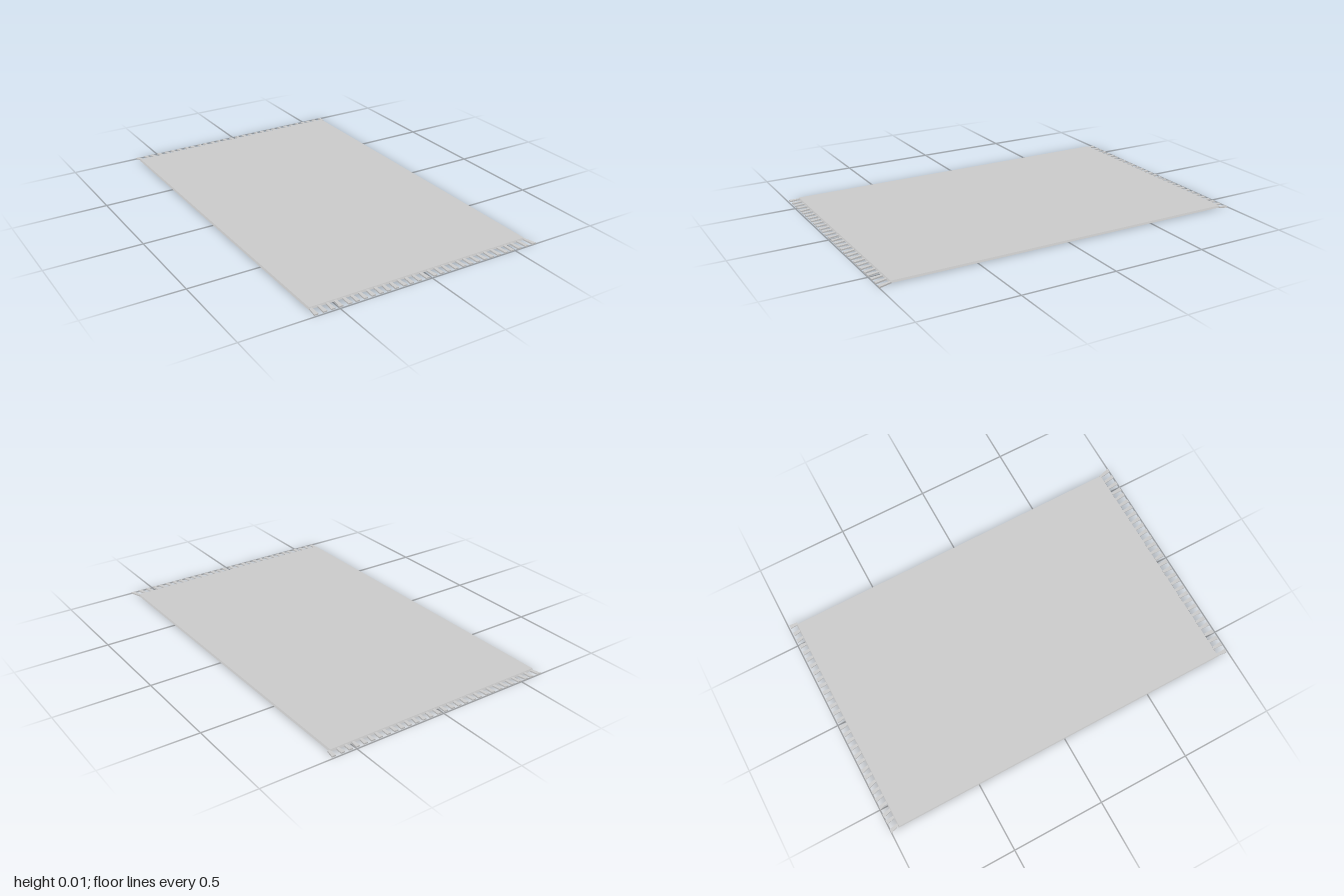
import * as THREE from 'three';

const material = new THREE.MeshStandardMaterial({ color: 0xcccccc, flatShading: true });
const COUNT = 30;

// Seeded noise in the range -1..1
function makeNoise(seed) {
  return () => {
    seed = (seed * 16807) % 2147483647;
    return (seed / 2147483647) * 2 - 1;
  };
}

// Flat strand: narrow root at the rug, wide tip further out, leaning sideways
function makeTassel(rootX, rootZ, tipX, tipZ) {
  const geometry = new THREE.BoxGeometry(1, 1, 1);
  const p = geometry.attributes.position;
  for (let i = 0; i < p.count; i++) {
    const atTip = p.getZ(i) > 0;
    const x = atTip ? tipX + p.getX(i) * 0.021 : rootX + p.getX(i) * 0.013;
    const top = atTip ? 0.008 : 0.010;
    const bottom = atTip ? 0.001 : 0.003;
    p.setXYZ(i, x, p.getY(i) > 0 ? top : bottom, atTip ? tipZ : rootZ);
  }
  geometry.computeVertexNormals();
  const tassel = new THREE.Mesh(geometry, material);
  tassel.name = 'tassel';
  return tassel;
}

// Row of tassels running outward along +z, leaning most at the far +x end
function makeFringe(name, rootZ, seed) {
  const fringe = new THREE.Group();
  fringe.name = name;
  const noise = makeNoise(seed);
  for (let i = 0; i < COUNT; i++) {
    const t = i / (COUNT - 1);
    const rootX = -0.615 + t * 1.222;
    const lean = i === COUNT - 1 ? 0.015 : 0.002 + 0.009 * t * t + 0.004 * noise();
    const tipZ = 0.992 + 0.008 * t * t;
    fringe.add(makeTassel(rootX, rootZ, rootX + lean, tipZ));
  }
  return fringe;
}

export function createModel() {
  const rug = new THREE.Group();
  rug.name = 'rug';

  // Woven panel: thin slab with chamfered upper edges
  const slab = new THREE.BoxGeometry(1.238, 0.010, 1.898);
  const p = slab.attributes.position;
  for (let i = 0; i < p.count; i++) {
    if (p.getY(i) > 0) {
      p.setX(i, p.getX(i) - Math.sign(p.getX(i)) * 0.004);
      p.setZ(i, p.getZ(i) - Math.sign(p.getZ(i)) * 0.004);
    }
  }
  slab.computeVertexNormals();
  const panel = new THREE.Mesh(slab, material);
  panel.name = 'panel';
  panel.position.set(-0.006, 0.009, -0.007);
  rug.add(panel);

  // Fringes at both short ends; the back one is the front turned half round
  rug.add(makeFringe('frontFringe', 0.935, 11));
  const back = makeFringe('backFringe', 0.948, 29);
  back.rotation.y = Math.PI;
  rug.add(back);

  // Rest the strand tips on the floor
  rug.children.forEach((part) => { part.position.y -= 0.001; });
  return rug;
}
